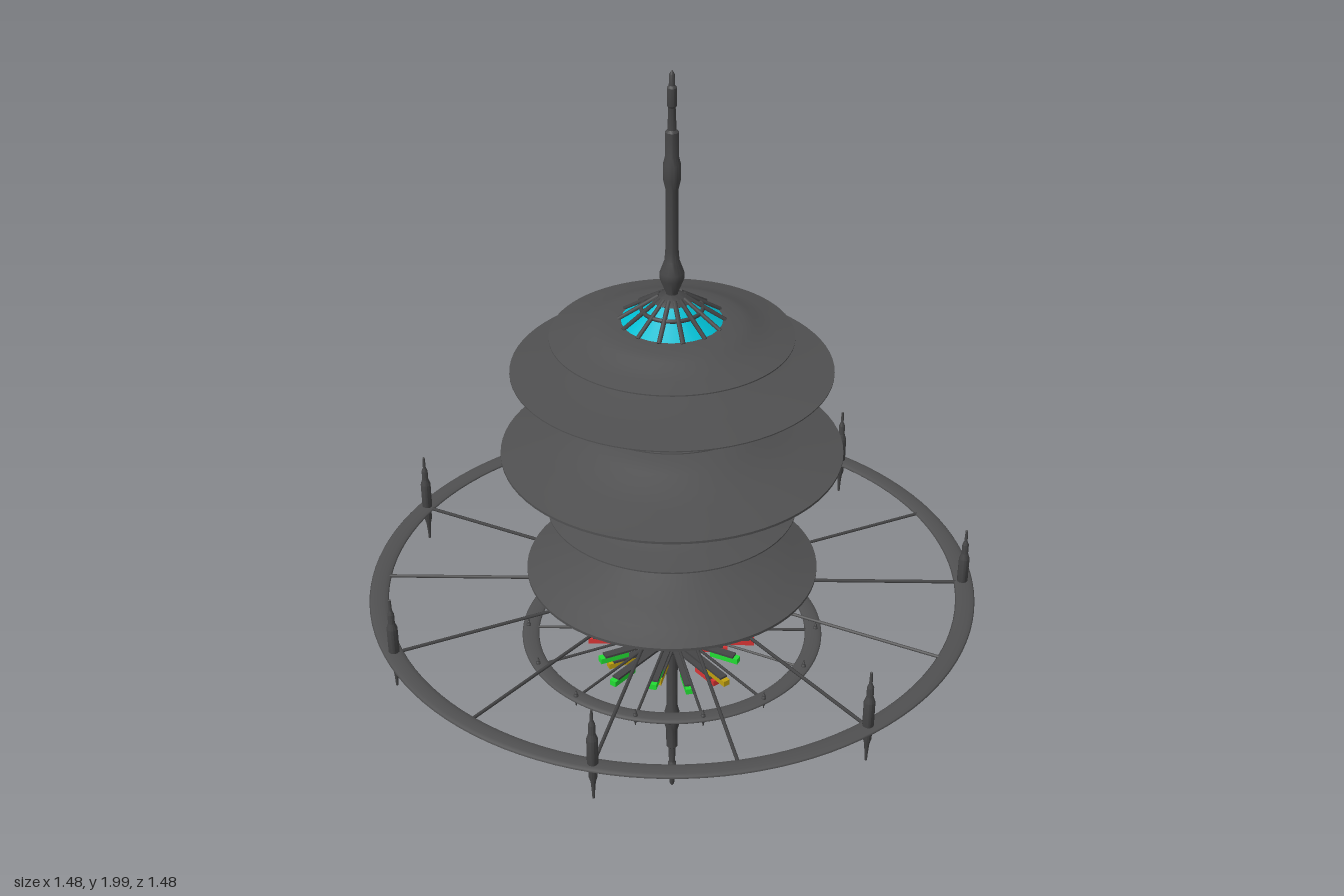
import * as THREE from 'three';
import { toCreasedNormals } from 'three/addons/utils/BufferGeometryUtils.js';

export function createModel() {
  const model = new THREE.Group();
  model.name = 'spaceStation';
  const mat = (name, color) => {
    const m = new THREE.MeshStandardMaterial({ color });
    m.name = name;
    return m;
  };
  const hull = mat('hullGrey', 0x505051);
  const trim = mat('darkTrim', 0x454546);
  const glass = mat('cyanGlass', 0x00bcd0);
  const cargo = {
    g: mat('cargoGreen', 0x22dd33),
    r: mat('cargoRed', 0xd83434),
    y: mat('cargoYellow', 0xc0a010),
  };

  const add = (name, geo, material, parent = model) => {
    const m = new THREE.Mesh(geo, material);
    m.name = name;
    parent.add(m);
    return m;
  };
  // Lathe from [radius, y] pairs listed top to bottom
  const turned = (pts, seg = 64) => {
    const v = pts.map(([r, y]) => new THREE.Vector2(r, y)).reverse();
    return toCreasedNormals(new THREE.LatheGeometry(v, seg), 0.6);
  };
  // Straight rod between two points
  const rod = (name, a, b, r, material) => {
    const d = b.clone().sub(a);
    const m = add(name, new THREE.CylinderGeometry(r, r, d.length(), 6), material);
    m.position.copy(a).add(b).multiplyScalar(0.5);
    m.quaternion.setFromUnitVectors(new THREE.Vector3(0, 1, 0), d.normalize());
  };
  const polar = (r, a, y) => new THREE.Vector3(r * Math.cos(a), y, r * Math.sin(a));
  const step = (n, fn) => { for (let i = 0; i < n; i++) fn((i / n) * Math.PI * 2, i); };

  // Habitat discs: a shared domed section, widened by a fullness exponent
  const upperHalf = [[0, 1], [0.25, 0.98], [0.4, 0.87], [0.5, 0.7], [0.58, 0.5], [0.75, 0.28], [1, 0.04]];
  const lowerHalf = [[1, 0.03], [0.8, 0.25], [0.59, 0.57], [0.5, 0.77], [0.35, 0.92], [0.2, 0.98], [0, 1]];
  const disc = (name, radius, rimY, topY, bottomY, fullness) => {
    const half = (pts, endY) => pts.map(([t, h]) => [radius * t ** fullness, rimY + (endY - rimY) * h]);
    add(name, turned([...half(upperHalf, topY), ...half(lowerHalf, bottomY)], 72), hull);
  };
  disc('habitatDisc1', 0.282, 1.361, 1.402, 1.316, 0.6);
  disc('habitatDisc2', 0.375, 1.277, 1.311, 1.224, 1);
  disc('habitatDisc3', 0.232, 1.183, 1.219, 1.138, 0.5);
  disc('habitatDisc4', 0.405, 1.06, 1.131, 0.958, 1);
  disc('habitatDisc5', 0.3, 0.905, 0.953, 0.853, 0.75);
  add('lowerHabitat', turned([[0, 0.834], [0.06, 0.833], [0.1, 0.827], [0.16, 0.806], [0.21, 0.783], [0.25, 0.771], [0.3, 0.75],
    [0.355, 0.731], [0.355, 0.724], [0.29, 0.693], [0.235, 0.655], [0.21, 0.636], [0.14, 0.605], [0.085, 0.586], [0.04, 0.568], [0, 0.566]], 72), hull);
  const core = add('centralCore', new THREE.CylinderGeometry(0.03, 0.03, 0.6, 24), trim);
  core.position.y = 1.09;

  // Glazed cupola on top and the small one below, with ribs
  add('topCupola', turned([[0.03, 1.458], [0.07, 1.43], [0.122, 1.398]], 28), glass);
  add('cupolaCollar', turned([[0.012, 1.468], [0.03, 1.462], [0.046, 1.452], [0.04, 1.448]], 28), trim);
  add('bottomCupola', turned([[0.042, 0.57], [0.018, 0.535]], 28), glass);
  step(14, (a) => {
    rod('cupolaRib', polar(0.03, a, 1.46), polar(0.122, a, 1.4), 0.0055, trim);
    rod('lowerCupolaRib', polar(0.042, a, 0.57), polar(0.018, a, 0.537), 0.0018, trim);
  });
  const hoop = add('cupolaHoop', new THREE.TorusGeometry(0.07, 0.005, 8, 56), trim);
  hoop.rotation.x = Math.PI / 2;
  hoop.position.y = 1.431;

  // Upper and lower masts share one profile, tip at the top
  const mast = [[0, 0.54], [0.006, 0.53], [0.007, 0.505], [0.011, 0.5], [0.011, 0.46], [0.008, 0.455], [0.01, 0.405], [0.015, 0.4],
    [0.015, 0.345], [0.02, 0.325], [0.02, 0.29], [0.014, 0.265], [0.015, 0.12], [0.017, 0.095], [0.028, 0.065], [0.028, 0.05], [0.014, 0.015], [0.014, 0]];
  add('upperMast', turned(mast, 20), trim).position.y = 1.455;
  const lower = add('lowerMast', turned(mast.map(([r, y]) => [y < 0.11 ? 0.015 : r, y]), 20), trim);
  lower.rotation.x = Math.PI;
  lower.position.y = 0.545;
  add('dockHub', turned([[0.014, 0.545], [0.032, 0.532], [0.034, 0.516], [0.028, 0.5], [0.03, 0.465], [0.014, 0.45]], 24), trim);

  // Flat rounded rings with spokes
  const ring = (name, radius, tube, y) => {
    const g = new THREE.TorusGeometry(radius, tube, 12, 112);
    g.rotateX(Math.PI / 2);
    g.scale(1, 0.006 / tube, 1);
    add(name, g, hull).position.y = y;
  };
  ring('outerRing', 0.7185, 0.0235, 0.677);
  ring('innerRing', 0.354, 0.021, 0.525);
  step(14, (a) => {
    rod('outerSpoke', polar(0.24, a, 0.677), polar(0.71, a, 0.677), 0.0042, trim);
    rod('innerSpoke', polar(0.02, a, 0.525), polar(0.35, a, 0.525), 0.0035, trim);
  });

  // Spindle pylons around the rings
  const spindle = [[0, 0.128], [0.003, 0.125], [0.004, 0.095], [0.008, 0.085], [0.008, 0.06], [0.013, 0.045], [0.013, -0.02],
    [0.01, -0.035], [0.01, -0.06], [0.006, -0.075], [0.004, -0.1], [0.003, -0.122], [0, -0.124]];
  const pylonGeo = turned(spindle, 12);
  step(7, (a) => add('ringPylon', pylonGeo, trim).position.copy(polar(0.716, a, 0.704)));
  step(14, (a) => {
    const p = add('smallPylon', pylonGeo, trim);
    p.position.copy(polar(0.36, a, 0.525));
    p.scale.set(0.45, 0.19, 0.45);
  });

  // Cargo dock: two tiers of radial arms, each carrying a coloured container
  const dock = new THREE.Group();
  dock.name = 'cargoDock';
  model.add(dock);
  const radialBox = (name, r0, r1, a, y, h, w, material) => {
    const b = add(name, new THREE.BoxGeometry(r1 - r0, h, w), material, dock);
    b.position.copy(polar((r0 + r1) / 2, a, y));
    b.rotation.y = -a;
  };
  const tiers = [
    { colours: 'yrrgyggggrrygg', y: 0.488, reach: 0.21 },
    { colours: 'yrryyry', y: 0.465, reach: 0.165 },
  ];
  for (const { colours, y, reach } of tiers) {
    step(colours.length, (a, i) => {
      const end = reach + 0.018 * Math.cos(i * 2.4 + 2) - 0.03 * Math.max(0, Math.cos(a));
      radialBox('dockArm', 0.015, end - 0.012, a, y + 0.01, 0.006, 0.02, trim);
      radialBox('cargoContainer', end - 0.075, end, a, y, 0.015, 0.018, cargo[colours[i]]);
    });
  }
  return model;
}
